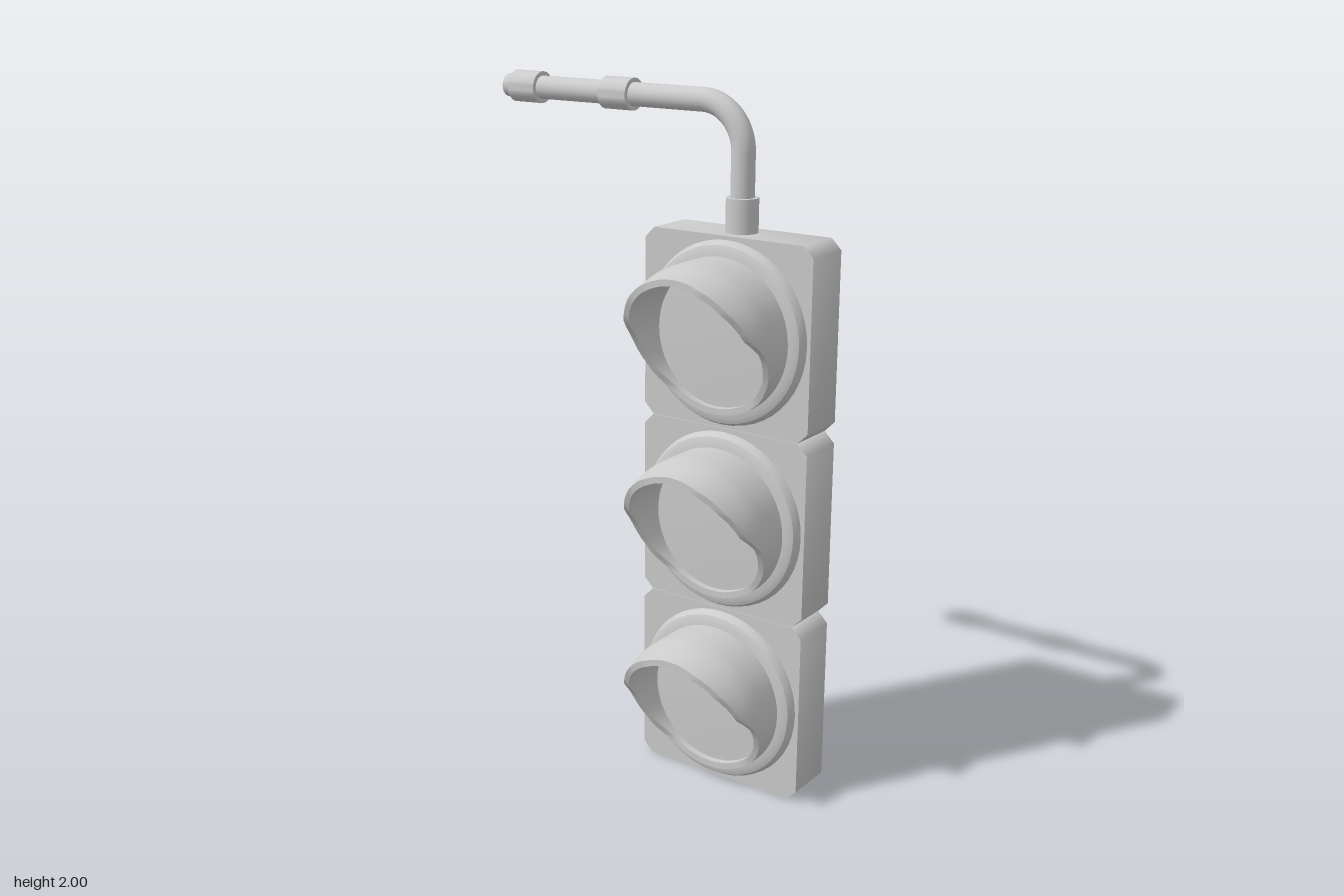
import * as THREE from 'three';
import { toCreasedNormals } from 'three/addons/utils/BufferGeometryUtils.js';

const grey = new THREE.MeshStandardMaterial({ color: 0xcccccc });
const greyDouble = new THREE.MeshStandardMaterial({ color: 0xcccccc, side: THREE.DoubleSide });

function add(parent, name, geometry, material = grey) {
  const mesh = new THREE.Mesh(geometry, material);
  mesh.name = name;
  parent.add(mesh);
  return mesh;
}

// Solid of revolution around z from [radius, z] points
function turned(points, segments = 48) {
  const g = new THREE.LatheGeometry(points.map(p => new THREE.Vector2(...p)), segments);
  return toCreasedNormals(g.rotateX(Math.PI / 2), 0.5);
}

// Housing: square with softly shaded clipped corners, extruded to its depth
function housingGeometry() {
  const w = 0.268, c = 0.03, shape = new THREE.Shape();
  shape.setFromPoints([
    [-w + c, -w], [w - c, -w], [w, -w + c], [w, w - c],
    [w - c, w], [-w + c, w], [-w, w - c], [-w, -w + c],
  ].map(p => new THREE.Vector2(...p)));
  return toCreasedNormals(new THREE.ExtrudeGeometry(shape, { depth: 0.145, bevelEnabled: false }), 1);
}

// Front edge of the hood: [degrees from the top, z]
const EDGE = [[0, 0.398], [26, 0.398], [51, 0.378], [77, 0.337], [92, 0.282],
  [115, 0.238], [120, 0.232], [140, 0.198], [180, 0.194]];

function edgeDepth(deg) {
  const i = Math.max(1, EDGE.findIndex(e => e[0] >= deg));
  const [a, b] = [EDGE[i - 1], EDGE[i]];
  return THREE.MathUtils.mapLinear(deg, a[0], b[0], a[1], b[1]);
}

// Hood: thin shell, outer wall forward and inner wall back, cut along the edge curve
function visorGeometry() {
  const around = 56, steps = 8, base = 0.15, wall = 0.018;
  const ring = 2 * (steps + 1), pos = [], index = [];
  for (let i = 0; i <= around; i++) {
    const deg = (i / around) * 360, a = THREE.MathUtils.degToRad(deg);
    const tip = edgeDepth(Math.min(deg, 360 - deg));
    for (let j = 0; j < ring; j++) {
      const inner = j > steps;
      const t = (inner ? ring - 1 - j : j) / steps;
      const z = base + (tip - base) * t;
      const r = 0.217 - 0.24 * Math.max(0, z - 0.295) - (inner ? wall : 0);
      pos.push(r * Math.sin(a), r * Math.cos(a), z);
    }
  }
  for (let i = 0; i < around; i++) {
    for (let j = 0; j < ring - 1; j++) {
      const p = i * ring + j, q = p + ring;
      index.push(p, p + 1, q, q, p + 1, q + 1);
    }
  }
  const g = new THREE.BufferGeometry();
  g.setAttribute('position', new THREE.Float32BufferAttribute(pos, 3));
  g.setIndex(index);
  return toCreasedNormals(g, 0.6);
}

// Hanging pipe: upright, quarter bend, then a long run to the rear
const PIPE_X = 0.127, PIPE_Y = 1.955, PIPE_Z = 0.272;

function pipePath() {
  const path = new THREE.CurvePath();
  const v = (y, z) => new THREE.Vector3(PIPE_X, y, z);
  const r = 0.13, k = r * 0.5523, y = PIPE_Y, z = PIPE_Z;
  path.add(new THREE.LineCurve3(v(1.6, z), v(y - r, z)));
  path.add(new THREE.CubicBezierCurve3(v(y - r, z), v(y - r + k, z), v(y, z - r + k), v(y, z - r)));
  path.add(new THREE.LineCurve3(v(y, z - r), v(y, -0.54)));
  return path;
}

export function createModel() {
  const model = new THREE.Group();
  model.name = 'trafficLight';

  // Three stacked lamp sections, lamps facing -x
  const housing = housingGeometry();
  const bezel = turned([[0.258, 0.143], [0.255, 0.155], [0.247, 0.168], [0.23, 0.175], [0.19, 0.175]]);
  const lens = turned([[0.21, 0.17], [0.12, 0.174], [0.0001, 0.176]]);
  const visor = visorGeometry();
  for (let i = 0; i < 3; i++) {
    const section = new THREE.Group();
    section.name = 'lampSection' + (i + 1);
    section.position.set(0.198, 0.268 + i * 0.537, 0.272);
    section.rotation.y = -Math.PI / 2;
    add(section, 'housing', housing);
    add(section, 'bezel', bezel);
    add(section, 'lens', lens);
    add(section, 'visor', visor, greyDouble);
    model.add(section);
  }

  // Hollow pipe with an annular open end
  const path = pipePath();
  add(model, 'pipe', new THREE.TubeGeometry(path, 120, 0.033, 24), greyDouble);
  add(model, 'pipeBore', new THREE.TubeGeometry(path, 120, 0.025, 24), greyDouble);
  add(model, 'pipeEnd', new THREE.RingGeometry(0.025, 0.033, 24), greyDouble)
    .position.set(PIPE_X, PIPE_Y, -0.54);

  // Collars: one at the base, two along the run
  const collar = new THREE.CylinderGeometry(0.045, 0.045, 0.095, 32);
  add(model, 'baseCollar', collar).position.set(PIPE_X, 1.657, PIPE_Z);
  const ringCollar = turned([[0.032, -0.0475], [0.045, -0.0475], [0.045, 0.0475], [0.032, 0.0475]], 32);
  for (const z of [-0.137, -0.463]) {
    add(model, 'pipeCollar', ringCollar).position.set(PIPE_X, PIPE_Y, z);
  }
  return model;
}
